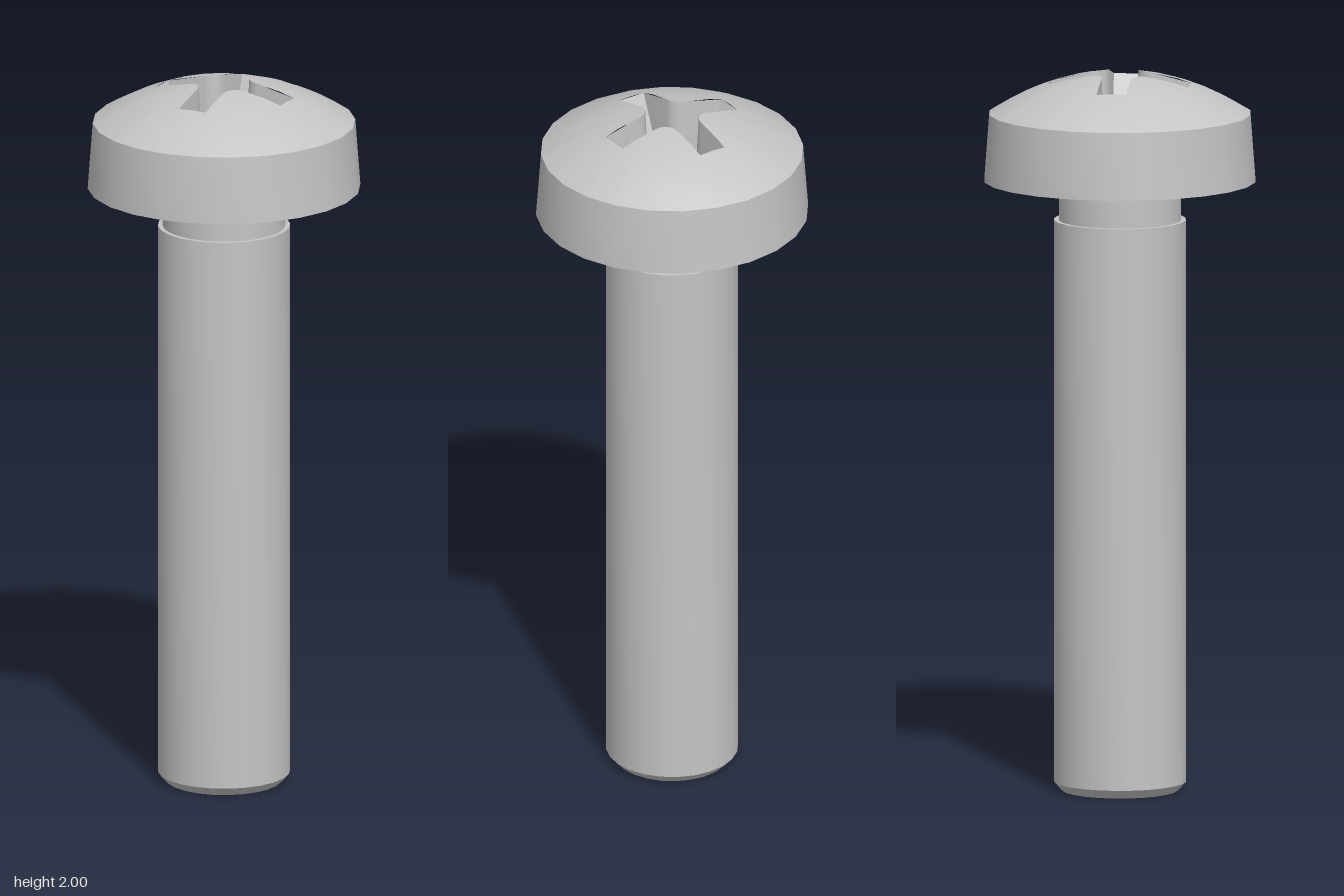
import * as THREE from 'three';
import { toCreasedNormals } from 'three/addons/utils/BufferGeometryUtils.js';

const SIDES = 24;
const RIM = 0.363, RIM_Y = 1.89, APEX = 2.005;
const FLOOR_Y = 1.79;

// Rounded cross outline as [x, z] points: arm length, half width, fillet radius
function cross(length, half, fillet) {
  const quarter = [[length, -half], [length, half]];
  const c = half + fillet;
  for (let i = 0; i <= 6; i++) {
    const a = -Math.PI / 2 - (i / 6) * (Math.PI / 2);
    quarter.push([c + fillet * Math.cos(a), c + fillet * Math.sin(a)]);
  }
  const points = [];
  for (let q = 0; q < 4; q++) {
    const cos = [1, 0, -1, 0][q], sin = [0, 1, 0, -1][q];
    for (const [x, z] of quarter) points.push([x * cos - z * sin, x * sin + z * cos]);
  }
  return points;
}

// Skin closed loops of [x, y, z] points, each loop outside or above the last
function loft(loops) {
  const pos = [];
  for (let k = 0; k + 1 < loops.length; k++) {
    const a = loops[k], b = loops[k + 1], n = a.length;
    for (let i = 0; i < n; i++) {
      const j = (i + 1) % n;
      pos.push(...a[i], ...a[j], ...b[i], ...b[i], ...a[j], ...b[j]);
    }
  }
  const g = new THREE.BufferGeometry();
  g.setAttribute('position', new THREE.Float32BufferAttribute(pos, 3));
  return toCreasedNormals(g, 0.6);
}

// Radius of the 24-sided rim in a given direction
function rimRadius(angle) {
  const step = (2 * Math.PI) / SIDES;
  const off = (((angle % step) + step) % step) - step / 2;
  return (RIM * Math.cos(step / 2)) / Math.cos(off);
}

function domeY(x, z) {
  const t = Math.hypot(x, z) / rimRadius(Math.atan2(z, x));
  return APEX - (APEX - RIM_Y) * t * t;
}

// Add the rim's corner directions to the outline so both edges match
function refine(outline) {
  const out = [];
  const step = (2 * Math.PI) / SIDES;
  outline.forEach((p, i) => {
    const q = outline[(i + 1) % outline.length];
    const a0 = Math.atan2(p[1], p[0]);
    let a1 = Math.atan2(q[1], q[0]);
    if (a1 < a0) a1 += 2 * Math.PI;
    out.push(p);
    for (let k = Math.ceil((a0 + 1e-4) / step); k * step < a1 - 1e-4; k++) {
      const c = Math.cos(k * step), s = Math.sin(k * step);
      const dx = q[0] - p[0], dz = q[1] - p[1];
      const r = (p[0] * dz - p[1] * dx) / (c * dz - s * dx);
      out.push([r * c, r * s]);
    }
  });
  return out;
}

export function createModel() {
  const group = new THREE.Group();
  const steel = new THREE.MeshStandardMaterial({ color: 0xc4c4c4 });
  steel.name = 'steel';

  const add = (name, geometry) => {
    const mesh = new THREE.Mesh(geometry, steel);
    mesh.name = name;
    group.add(mesh);
  };
  const turned = (name, profile) => {
    const points = profile.map(([r, y]) => new THREE.Vector2(r, y));
    add(name, toCreasedNormals(new THREE.LatheGeometry(points, SIDES), 0.5));
  };

  // Turned parts, from the chamfered tip up to the head's flank
  turned('shank', [[0, 0], [0.16, 0], [0.183, 0.025], [0.183, 1.593], [0.17, 1.593]]);
  turned('neck', [[0.17, 1.593], [0.17, 1.703]]);
  turned('headFlank', [[0.17, 1.703], [0.377, 1.703], [RIM, RIM_Y]]);

  // Domed top, opened by the cross recess
  const mouth = cross(0.195, 0.041, 0.042);
  const edge = refine(mouth);
  const rings = [0, 0.2, 0.4, 0.6, 0.8, 1].map((t) => edge.map(([x, z]) => {
    const r = Math.hypot(x, z);
    const k = (r + (rimRadius(Math.atan2(z, x)) - r) * t) / r;
    return [x * k, domeY(x * k, z * k), z * k];
  }));
  add('headDome', loft(rings));

  // Tapered recess walls and flat floor
  const base = cross(0.106, 0.033, 0.042).map(([x, z]) => [x, FLOOR_Y, z]);
  add('recessWalls', loft([base, mouth.map(([x, z]) => [x, domeY(x, z), z])]));
  add('recessFloor', loft([base.map(() => [0, FLOOR_Y, 0]), base]));

  return group;
}
